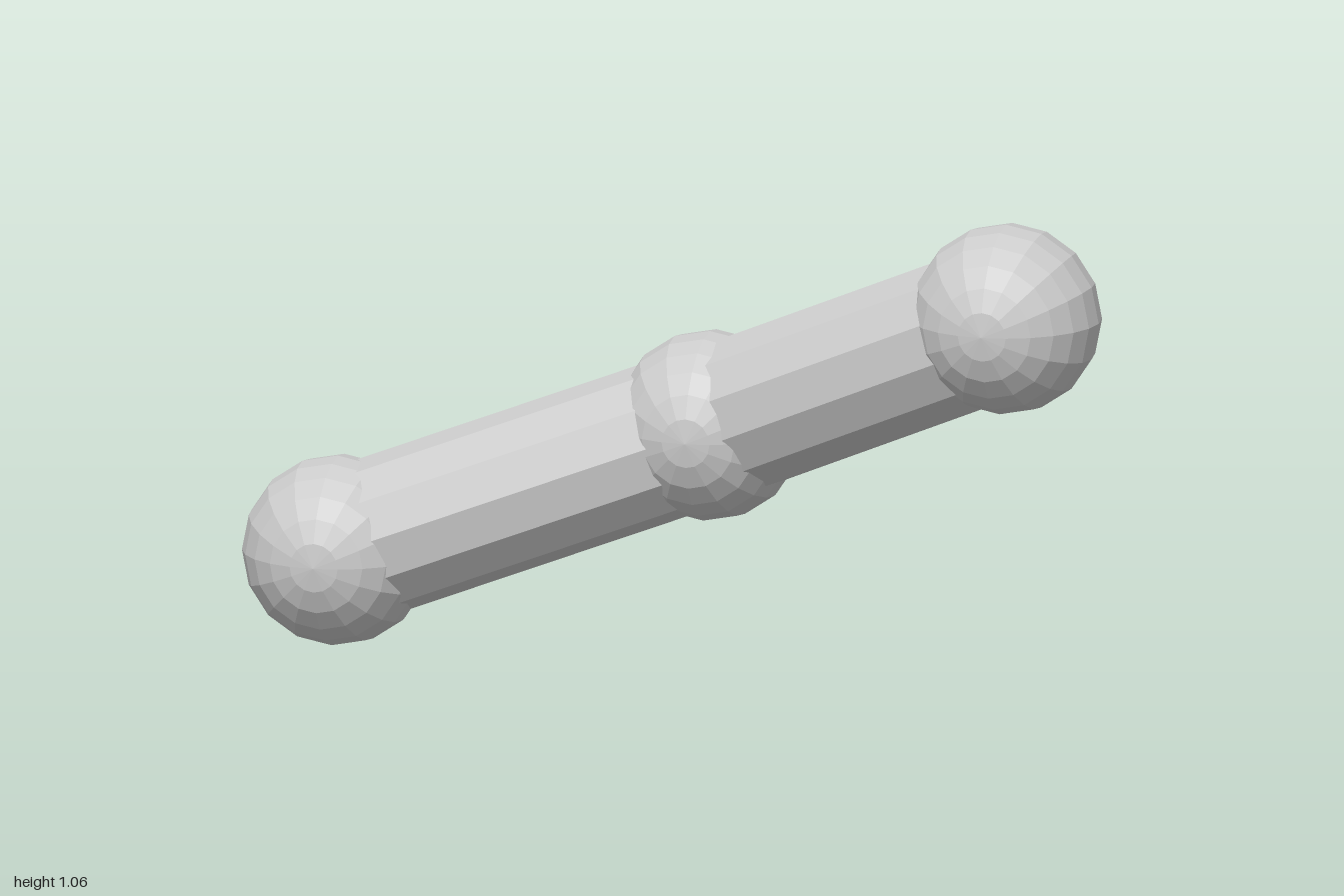
import * as THREE from 'three';

export function createModel() {
  const group = new THREE.Group();
  const material = new THREE.MeshStandardMaterial({ color: 0xcccccc, flatShading: true });
  const jointRadius = 0.215;
  const rodRadius = 0.178;

  // Joint centres, from the low end to the high end
  const joints = [
    ['lowerJoint', new THREE.Vector3(-0.785, 0.217, 0.01)],
    ['middleJoint', new THREE.Vector3(0.052, 0.53, -0.085)],
    ['upperJoint', new THREE.Vector3(0.785, 0.85, 0.083)],
  ];

  // Ball joints, poles along z
  const ball = new THREE.SphereGeometry(jointRadius, 16, 12).rotateX(Math.PI / 2);
  for (const [name, centre] of joints) {
    const joint = new THREE.Mesh(ball, material);
    joint.name = name;
    joint.position.copy(centre);
    group.add(joint);
  }

  // Faceted rods running between neighbouring joints
  const up = new THREE.Vector3(0, 1, 0);
  ['lowerRod', 'upperRod'].forEach((name, i) => {
    const start = joints[i][1];
    const end = joints[i + 1][1];
    const along = end.clone().sub(start);
    const rod = new THREE.Mesh(
      new THREE.CylinderGeometry(rodRadius, rodRadius, along.length(), 12), material);
    rod.name = name;
    rod.position.copy(start).lerp(end, 0.5);
    rod.quaternion.setFromUnitVectors(up, along.normalize());
    group.add(rod);
  });

  return group;
}
